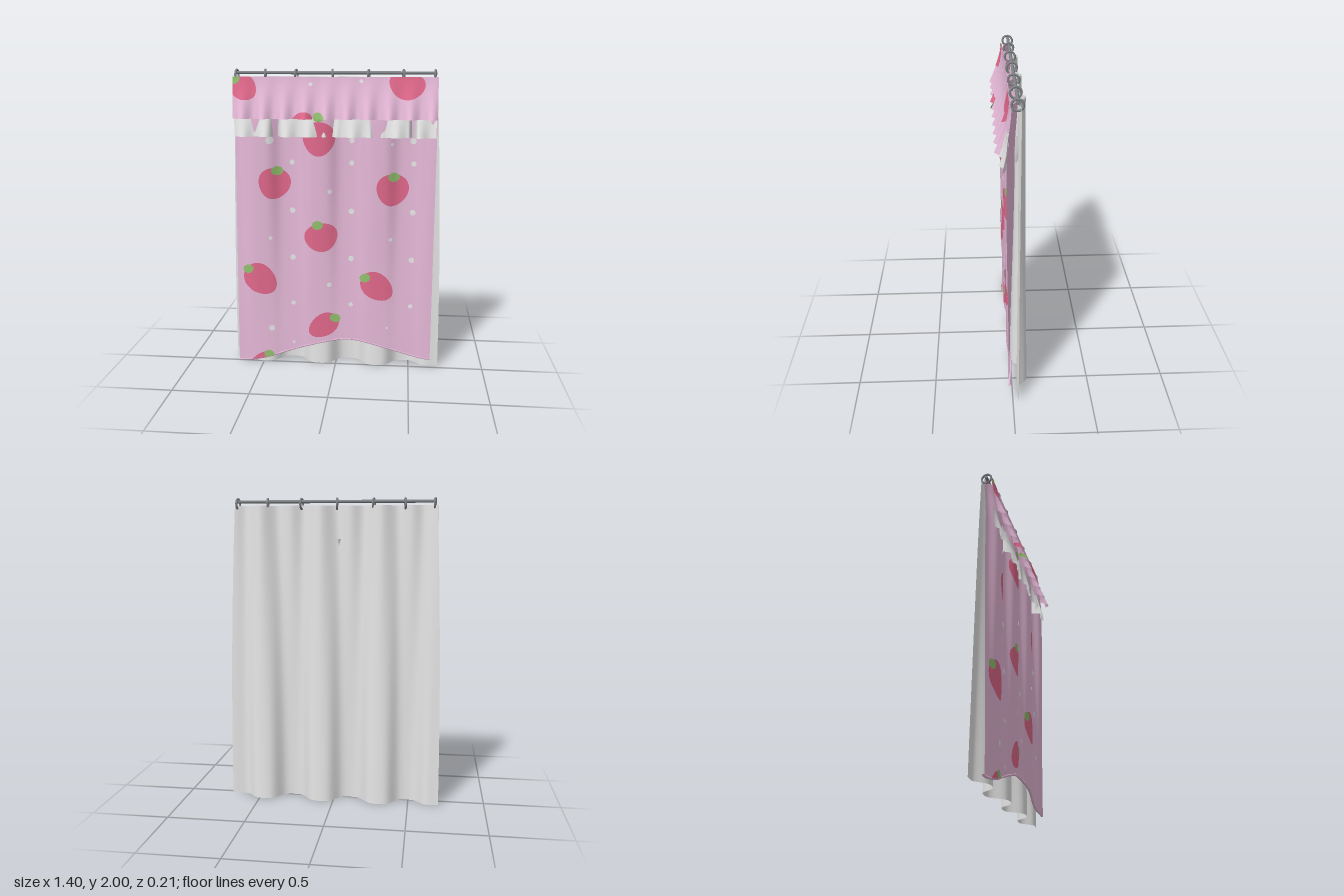
import * as THREE from 'three';

const mat = (name, color) => {
  const m = new THREE.MeshStandardMaterial({ color, side: THREE.DoubleSide });
  m.name = name;
  return m;
};
const { cos, sin, min, max, exp, pow, tanh, PI } = Math;
const wave = (x, peak, period) => cos((2 * PI * (x - peak)) / period);
const lerp = THREE.MathUtils.lerp;
const smooth = THREE.MathUtils.smoothstep;
const TOP = 1.95;

// Broad folds with steep sides, shared by the lining and the front curtain
const fold = x => tanh(1.4 * wave(x, 0.085, 0.385)) / tanh(1.4);

// Curved lower edge of the front curtain
const hem = x => x < 0.09
  ? lerp(0.015, 0.195, smooth(x, -0.68, 0.09))
  : lerp(0.195, 0.075, smooth(x, 0.09, 0.66));

// Each cloth has its outline and its depth z(x, y)
const front = {
  left: y => -0.67 + 0.015 * y / TOP, right: () => 0.645, bottom: hem, top: TOP,
  z: (x, y) => {
    const v = y / TOP, gather = smooth(v, 0.85, 1);
    const depth = lerp(0.006, 0.027, smooth(v, 0.05, 0.8)) - 0.006 * gather;
    return lerp(0.019, 0.01, v) - 0.019 * gather - depth * fold(x);
  },
};
const lining = {
  left: y => -0.70 + 0.05 * pow(y / TOP, 2), right: y => 0.70 - 0.06 * pow(y / TOP, 2),
  bottom: () => 0.004, top: TOP,
  z: (x, y) => {
    const v = y / TOP;
    const edge = 1 - 0.7 * smooth(Math.abs(x), 0.5, 0.7);
    const gathers = 0.02 * v * v * wave(x, 0.085, 0.1925);
    return lerp(-0.052, -0.042, v) - edge * (lerp(0.052, 0.012, v) * fold(x) + gathers);
  },
};
const valance = {
  left: () => -0.655, right: () => 0.645, bottom: () => 1.69, top: TOP,
  z: (x, y) => {
    const t = max(0, (TOP - y) / 0.26);
    return 0.016 + 0.064 * pow(t, 1.3) + 0.023 * pow(t, 1.5) * wave(x, 0.075, 0.133);
  },
};
const ruffle = {
  left: () => -0.65, right: () => 0.64, bottom: () => 1.575, top: 1.74,
  z: (x, y) => {
    const t = (1.74 - y) / 0.165;
    let z = 0.026 + 0.031 * t + 0.017 * t * wave(x, 0.11, 0.14);
    // deep pleats that tuck behind the front curtain
    for (const [c, w, d] of [[-0.385, 0.022, 0.06], [-0.03, 0.028, 0.06], [0.26, 0.025, 0.06], [0.495, 0.014, 0.085]])
      z -= d * exp(-pow((x - c) / w, 2));
    return z;
  },
};

function clothGeometry(c, nx, ny) {
  const g = new THREE.PlaneGeometry(1, 1, nx, ny);
  const p = g.attributes.position;
  for (let i = 0; i < p.count; i++) {
    const u = p.getX(i) + 0.5, v = p.getY(i) + 0.5;
    const x0 = lerp(c.left(v * c.top), c.right(v * c.top), u);
    const y = lerp(c.bottom(x0), c.top, v);
    const x = lerp(c.left(y), c.right(y), u);
    p.setXYZ(i, x, y, c.z(x, y));
  }
  g.computeVertexNormals();
  return g;
}

// Painted patch lying just above a cloth; narrows toward its tip by "taper"
function patchGeometry(c, cx, cy, w, h, tilt, taper, lift, seg = 40, rings = 12) {
  const g = new THREE.RingGeometry(0.001, 1, seg, rings);
  const p = g.attributes.position;
  for (let i = 0; i < p.count; i++) {
    const a = p.getX(i), b = p.getY(i);
    const px = a * (1 + taper * b) * w, py = b * h;
    let x = cx + px * cos(tilt) - py * sin(tilt);
    let y = cy + px * sin(tilt) + py * cos(tilt);
    x = min(max(x, c.left(y)), c.right(y));
    y = min(max(y, c.bottom(x)), c.top);
    p.setXYZ(i, x, y, c.z(x, y) + lift);
  }
  g.computeVertexNormals();
  return g;
}

export function createModel() {
  const model = new THREE.Group();
  model.name = 'curtain';
  const pink = mat('pink cloth', 0xe6b9d8);
  const white = mat('white cloth', 0xe6e6e6);
  const red = mat('berry red', 0xe2698c);
  const green = mat('leaf green', 0x92c06e);
  const metal = mat('grey metal', 0x808386);

  const add = (name, geometry, material, parent = model) => {
    const m = new THREE.Mesh(geometry, material);
    m.name = name;
    parent.add(m);
    return m;
  };

  // Cloth layers
  add('backLining', clothGeometry(lining, 180, 40), white);
  add('frontCurtain', clothGeometry(front, 180, 60), pink);
  add('valance', clothGeometry(valance, 220, 20), pink);
  add('ruffle', clothGeometry(ruffle, 260, 14), white);

  // Rolled hem along the curved lower edge
  const hemPoints = [];
  for (let i = 0; i <= 24; i++) {
    const x = lerp(-0.668, 0.644, i / 24);
    hemPoints.push(new THREE.Vector3(x, hem(x), front.z(x, hem(x)) - 0.006));
  }
  add('hem', new THREE.TubeGeometry(new THREE.CatmullRomCurve3(hemPoints), 80, 0.008, 8), pink);

  // Berries: cloth, centre x y, leaf x y, half width, half length
  const berries = new THREE.Group();
  berries.name = 'berries';
  model.add(berries);
  const berryList = [
    [front, -0.40, 1.265, -0.38, 1.35, 0.102, 0.103],
    [front, 0.372, 1.235, 0.38, 1.32, 0.103, 0.105],
    [front, -0.092, 0.91, -0.115, 0.995, 0.11, 0.097],
    [front, -0.505, 0.61, -0.588, 0.68, 0.1, 0.122],
    [front, 0.28, 0.58, 0.2, 0.64, 0.09, 0.118],
    [front, -0.08, 0.292, 0.0, 0.348, 0.077, 0.113],
    [front, -0.105, 1.56, -0.105, 1.70, 0.105, 0.11],
    [front, -0.52, 0.025, -0.455, 0.068, 0.04, 0.085],
    [valance, -0.585, 1.885, -0.645, 1.935, 0.08, 0.09],
    [valance, 0.45, 1.90, 0.47, 1.99, 0.112, 0.09],
    [valance, -0.205, 1.685, -0.10, 1.70, 0.048, 0.065],
  ];
  for (const [c, x, y, lx, ly, w, h] of berryList) {
    const tilt = Math.atan2(-(lx - x), ly - y);
    add('berry', patchGeometry(c, x, y, w, h, tilt, 0.15, 0.004), red, berries);
    if (ly < TOP)
      add('berryLeaf', patchGeometry(c, lx, ly, 0.037, 0.03, tilt * 0.4, 0, 0.007, 20, 6), green, berries);
  }

  // White polka dots: x, y, radius
  const dots = new THREE.Group();
  dots.name = 'polkaDots';
  model.add(dots);
  const dotList = [
    [-0.425, 1.55, 0.025], [0.105, 1.55, 0.018], [0.5, 1.55, 0.02], [0.365, 1.53, 0.01],
    [-0.43, 0.9, 0.013], [-0.04, 0.905, 0.014], [0.365, 0.905, 0.013],
    [-0.035, 1.22, 0.015], [-0.04, 0.585, 0.016],
    [-0.435, 0.26, 0.021], [0.35, 0.29, 0.009], [-0.285, 0.16, 0.01],
  ];
  for (const x of [-0.285, 0.105, 0.505])
    for (const [y, r] of [[1.405, 0.017], [1.085, 0.019], [0.765, 0.019], [0.445, 0.015]])
      dotList.push([x, y, r]);
  for (const [x, y, r] of dotList)
    add('dot', patchGeometry(front, x, y, r, r, 0, 0, 0.003, 12, 2), white, dots);
  for (const [x, y] of [[-0.155, 1.905], [0.165, 1.925]])
    add('valanceDot', patchGeometry(valance, x, y, 0.012, 0.012, 0, 0, 0.003, 12, 2), white, dots);

  // Rod and hanging rings
  const rod = add('rod', new THREE.CylinderGeometry(0.01, 0.01, 1.275, 16), metal);
  rod.rotation.z = PI / 2;
  rod.position.set(-0.002, 1.975, -0.025);
  const ringGeometry = new THREE.TorusGeometry(0.032, 0.007, 10, 28);
  [-0.635, -0.45, -0.252, -0.02, 0.208, 0.428, 0.624].forEach((x, i) => {
    const ring = add('ring', ringGeometry, metal);
    ring.rotation.y = PI / 2 + (i % 2 ? 0.12 : -0.1);
    ring.position.set(x, 1.961, -0.022);
  });

  return model;
}
